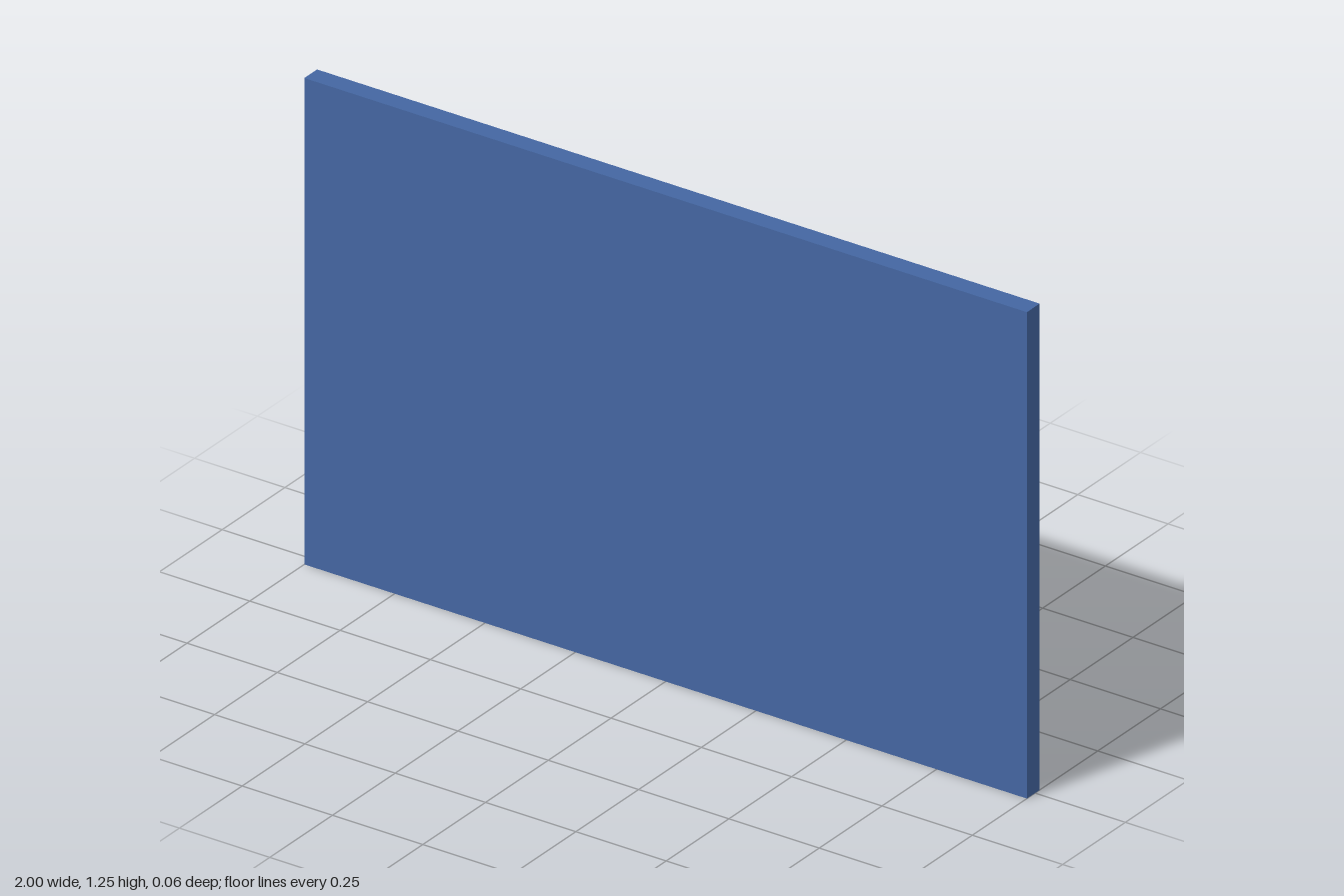
import * as THREE from 'three';

export function createModel() {
  const model = new THREE.Group();
  model.name = 'wallPanel';

  const blue = new THREE.MeshStandardMaterial({ color: 0x4466a2 });
  blue.name = 'panelBlue';
  const grey = new THREE.MeshStandardMaterial({ color: 0xb8bfb8, side: THREE.DoubleSide });
  grey.name = 'padGrey';

  // Main board
  const board = new THREE.Mesh(new THREE.BoxGeometry(2, 1.25, 0.051), blue);
  board.name = 'board';
  board.position.set(0, 0.625, 0.007);
  model.add(board);

  // Flat pads standing just off the back of the board
  function addRow(name, width, height, y, centres) {
    const geometry = new THREE.PlaneGeometry(width, height);
    centres.forEach((x, i) => {
      const pad = new THREE.Mesh(geometry, grey);
      pad.name = name + (i + 1);
      pad.position.set(x, y, -0.0325);
      pad.rotation.y = Math.PI;
      model.add(pad);
    });
  }
  addRow('tallPad', 0.182, 0.341, 0.621, [0.722, 0.431, 0.123, -0.484]);
  addRow('widePad', 0.346, 0.182, 0.241, [0.752, 0.251, -0.291, -0.78]);

  return model;
}
